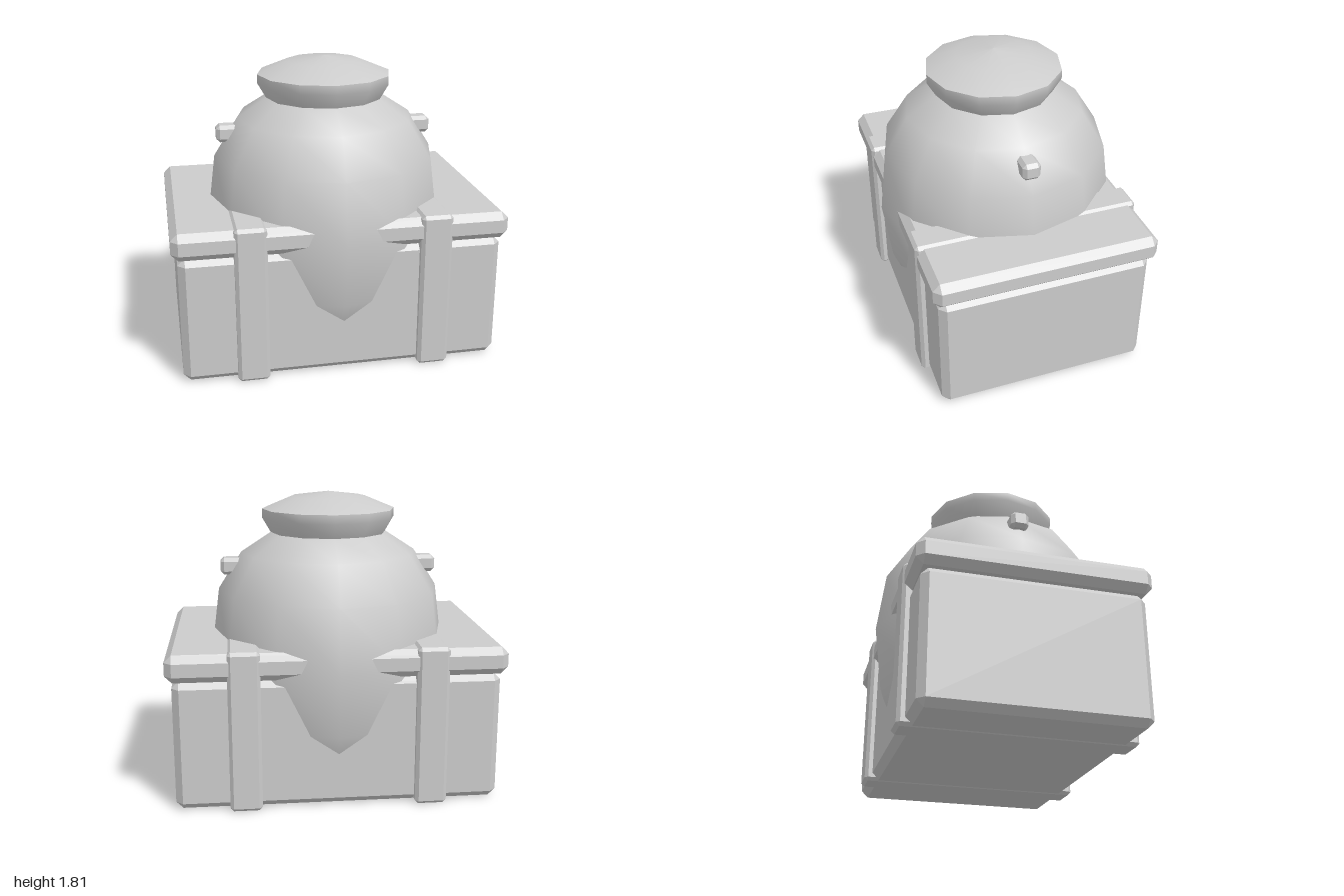
import * as THREE from 'three';
import { ConvexGeometry } from 'three/addons/geometries/ConvexGeometry.js';

// Box between two corners with every edge cut by a flat bevel
function bevelBox(x0, x1, y0, y1, z0, z1, b) {
  const h = [(x1 - x0) / 2, (y1 - y0) / 2, (z1 - z0) / 2];
  const points = [];
  for (const sx of [-1, 1]) for (const sy of [-1, 1]) for (const sz of [-1, 1]) {
    for (let axis = 0; axis < 3; axis++) {
      const inset = [b, b, b];
      inset[axis] = 0;
      points.push(new THREE.Vector3(sx * (h[0] - inset[0]), sy * (h[1] - inset[1]), sz * (h[2] - inset[2])));
    }
  }
  const geometry = new ConvexGeometry(points);
  geometry.translate((x0 + x1) / 2, (y0 + y1) / 2, (z0 + z1) / 2);
  return geometry;
}

// Twelve-sided smooth turned surface, profile listed from bottom to top
function turned(profile) {
  return new THREE.LatheGeometry(profile.map(([r, y]) => new THREE.Vector2(r, y)), 12);
}

export function createModel() {
  const model = new THREE.Group();
  const stone = new THREE.MeshStandardMaterial({ color: 0xcccccc });
  stone.name = 'pale grey';

  const add = (name, geometry) => {
    const mesh = new THREE.Mesh(geometry, stone);
    mesh.name = name;
    model.add(mesh);
  };

  // Chest
  add('chestBody', bevelBox(-0.965, 0.965, 0.005, 0.79, -0.645, 0.645, 0.042));
  add('chestLid', bevelBox(-1, 1, 0.79, 0.955, -0.68, 0.68, 0.043));

  // Straps and jar lugs on both sides
  for (const side of [-1, 1]) {
    const label = side > 0 ? 'left' : 'right';
    const span = (a, b) => (side > 0 ? [a, b] : [-b, -a]);
    add(label + 'Strap', bevelBox(...span(0.455, 0.645), 0, 0.97, -0.69, 0.69, 0.02));
    add(label + 'Lug', bevelBox(...span(0.5, 0.675), 1.3, 1.405, -0.055, 0.055, 0.022));
  }

  // Round jar sunk into the chest
  add('jarBody', turned([
    [0, 0.03], [0.3, 0.05], [0.55, 0.08], [0.69, 0.44], [0.74, 0.83],
    [0.69, 1.21], [0.545, 1.44], [0.36, 1.56],
  ]));
  add('jarCollar', turned([[0.36, 1.56], [0.412, 1.65], [0.412, 1.705]]));
  add('jarCap', turned([[0.412, 1.705], [0.23, 1.78], [0, 1.81]]));

  return model;
}
